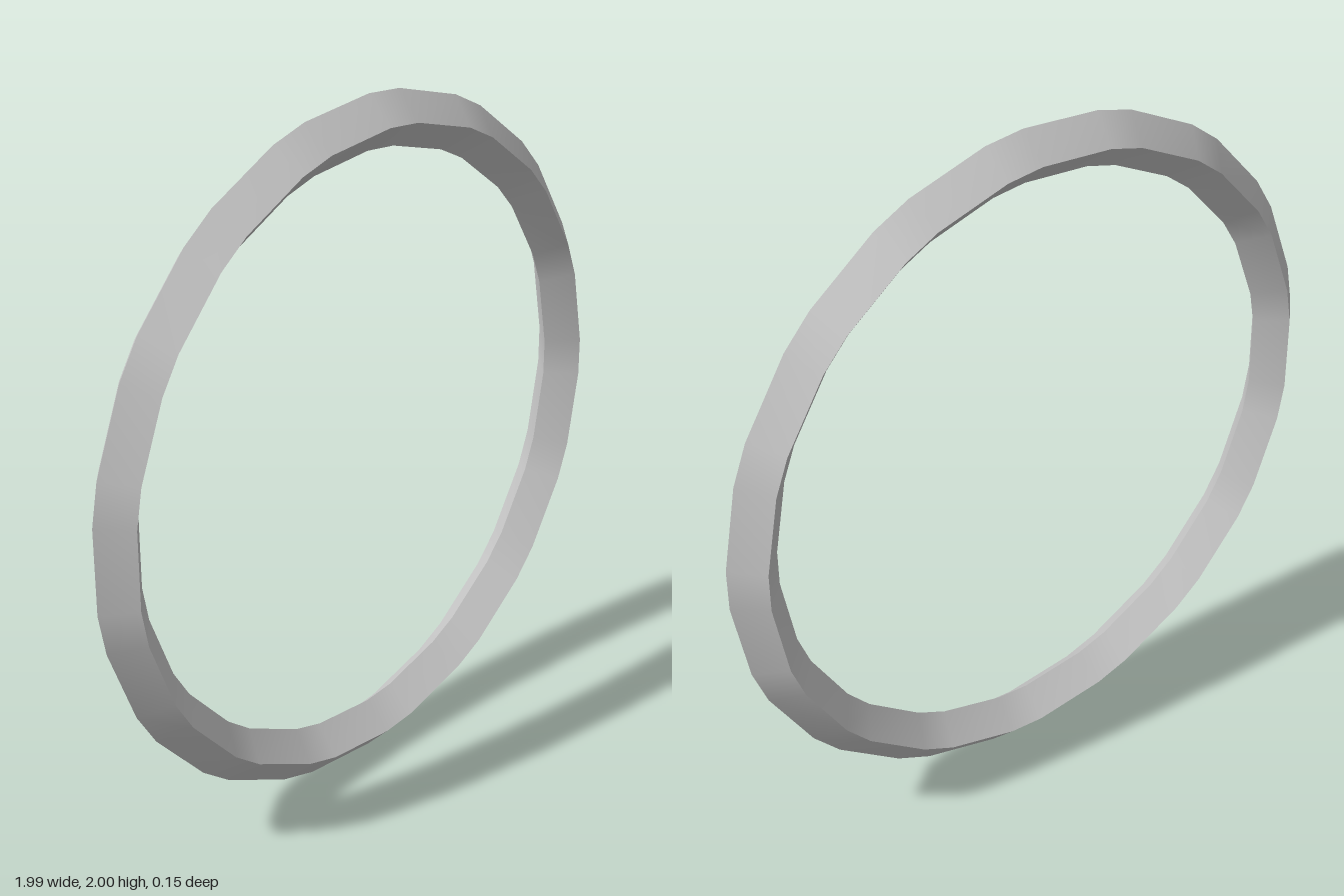
import * as THREE from 'three';

const SIDES = 17;                 // straight runs, each corner cut by a short bevel
const HALF_BEVEL = 3.5 * Math.PI / 180;

// Diamond cross-section as [radius, z]: outer rim, front, inner rim, back
const PROFILE = [[1, 0], [0.922, 0.077], [0.846, 0], [0.922, -0.077]];

// One smooth strip of the ring between two neighbouring profile corners
function addStrip(a, b, angles, positions, indices) {
  const base = positions.length / 3;
  const n = angles.length;
  for (const t of angles) {
    for (const [r, z] of [a, b]) positions.push(r * Math.cos(t), r * Math.sin(t), z);
  }
  for (let i = 0; i < n; i++) {
    const p = base + 2 * i;
    const q = base + 2 * ((i + 1) % n);
    indices.push(p, q, q + 1, p, q + 1, p + 1);
  }
}

function ringGeometry() {
  // Angles come in close pairs, one pair for each bevelled corner
  const angles = [];
  for (let i = 0; i < SIDES; i++) {
    const t = (i / SIDES) * Math.PI * 2;
    angles.push(t - HALF_BEVEL, t + HALF_BEVEL);
  }
  const positions = [];
  const indices = [];
  // Strips do not share vertices, so the four rims stay sharp
  PROFILE.forEach((p, i) => addStrip(p, PROFILE[(i + 1) % 4], angles, positions, indices));

  const geometry = new THREE.BufferGeometry();
  geometry.setAttribute('position', new THREE.Float32BufferAttribute(positions, 3));
  geometry.setIndex(indices);
  geometry.computeVertexNormals();
  // Centre the odd-sided ring and stand it on the ground
  geometry.center();
  geometry.computeBoundingBox();
  geometry.translate(0, -geometry.boundingBox.min.y, 0);
  return geometry;
}

export function createModel() {
  const group = new THREE.Group();
  group.name = 'hoop';
  const ring = new THREE.Mesh(ringGeometry(), new THREE.MeshStandardMaterial({ color: 0xcccccc }));
  ring.name = 'ring';
  group.add(ring);
  return group;
}
